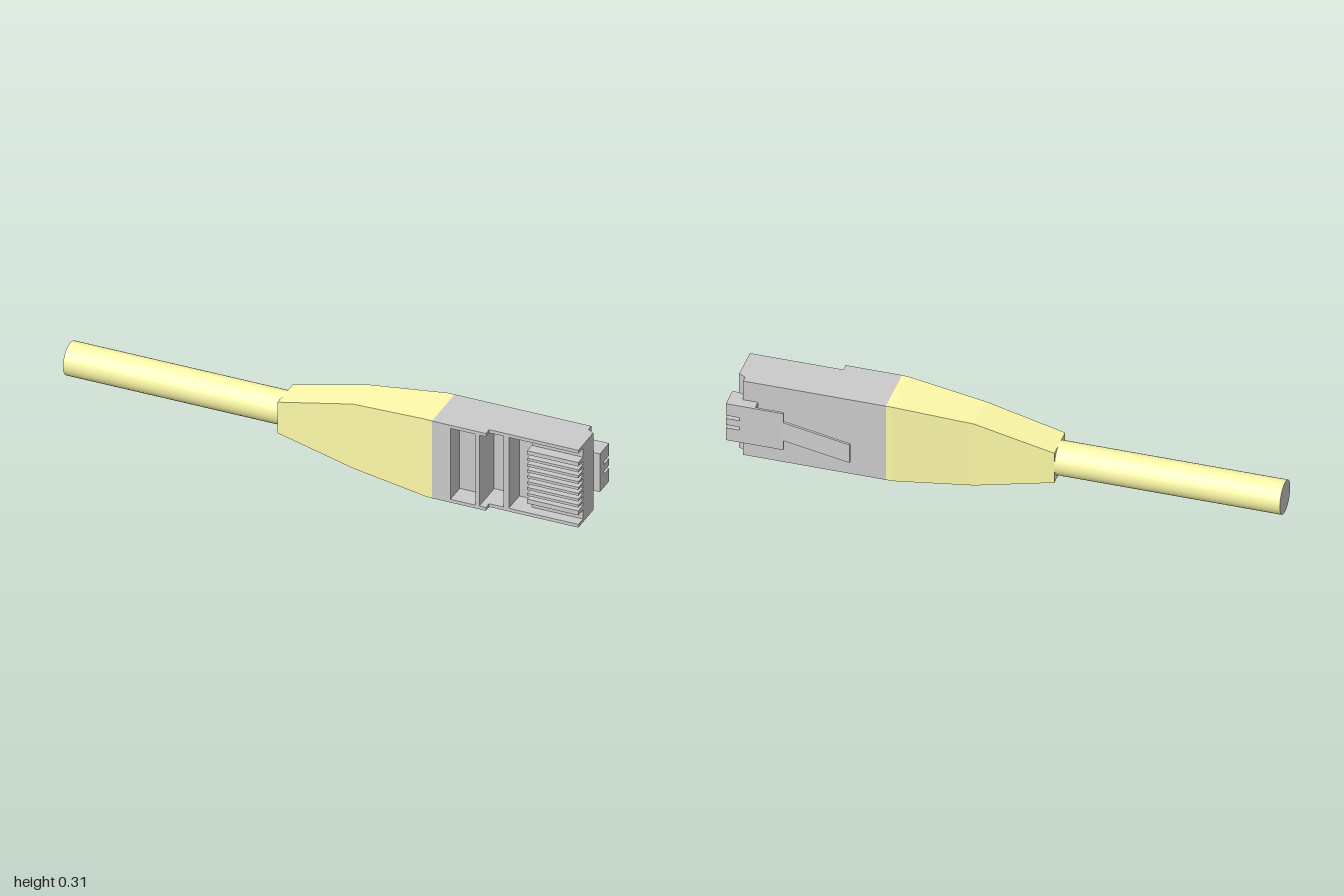
import * as THREE from 'three';

const grey = new THREE.MeshStandardMaterial({ color: 0xcccccc });
const yellow = new THREE.MeshStandardMaterial({ color: 0xfffbaa });

function add(parent, name, geometry, material = grey) {
  const mesh = new THREE.Mesh(geometry, material);
  mesh.name = name;
  parent.add(mesh);
  return mesh;
}

// Box given by its limits on each axis
function box(x0, x1, y0, y1, z0, z1) {
  return new THREE.BoxGeometry(x1 - x0, y1 - y0, z1 - z0)
    .translate((x0 + x1) / 2, (y0 + y1) / 2, (z0 + z1) / 2);
}

// Outline of [x, z] points, extruded upwards from y0 to y1
function slab(points, y0, y1) {
  const shape = new THREE.Shape(points.map(([x, z]) => new THREE.Vector2(x, -z)));
  return new THREE.ExtrudeGeometry(shape, { depth: y1 - y0, bevelEnabled: false })
    .rotateX(-Math.PI / 2).translate(0, y0, 0);
}

// Tapered strain relief: a box whose cross-section changes at each station
function bootGeometry() {
  const stations = [ // x, half height, back z, front z
    [-0.18, 0.063, -0.02, 0.11],
    [0.11, 0.131, -0.025, 0.117],
    [0.4, 0.1575, -0.047, 0.146],
    [0.425, 0.1575, -0.047, 0.148],
  ];
  const geo = new THREE.BoxGeometry(3, 1, 1, 3, 1, 1);
  const p = geo.attributes.position;
  for (let i = 0; i < p.count; i++) {
    const [x, h, back, front] = stations[Math.round(p.getX(i) + 1.5)];
    p.setXYZ(i, x, 0.1575 + Math.sign(p.getY(i)) * h, p.getZ(i) > 0 ? front : back);
  }
  const flat = geo.toNonIndexed();
  flat.computeVertexNormals();
  return flat;
}

export function createModel() {
  const model = new THREE.Group();
  model.name = 'networkCable';

  // Cable and its cut end
  const cableY = 0.16, cableZ = 0.043, radius = 0.0625;
  add(model, 'cable', new THREE.CylinderGeometry(radius, radius, 0.84, 32, 1, true)
    .rotateZ(Math.PI / 2).translate(-0.58, cableY, cableZ), yellow);
  add(model, 'cableEnd', new THREE.CircleGeometry(radius, 32)
    .rotateY(-Math.PI / 2).translate(-1, cableY, cableZ));

  add(model, 'boot', bootGeometry(), yellow);

  // Plug housing: two thin side walls around a core with three pockets
  const plug = new THREE.Group();
  plug.name = 'plug';
  model.add(plug);
  const back = [[0.97, -0.008], [0.945, -0.022], [0.945, -0.047], [0.425, -0.047]];
  const wall = [...back, [0.425, 0.148], [0.63, 0.148], [0.63, 0.12], [0.97, 0.12]];
  const core = [
    ...back, [0.425, 0.148],
    [0.495, 0.148], [0.495, 0.068], [0.59, 0.068], [0.59, 0.148],
    [0.605, 0.148], [0.605, 0.02], [0.685, 0.02], [0.685, 0.12],
    [0.705, 0.12], [0.705, 0.03], [0.775, 0.03], [0.775, 0.08],
    [0.97, 0.08],
  ];
  add(plug, 'lowerWall', slab(wall, 0, 0.013));
  add(plug, 'upperWall', slab(wall, 0.302, 0.315));
  add(plug, 'core', slab(core, 0.013, 0.302));

  // Ridges that separate the eight contact slots
  const pitch = 0.0239, slot = 0.0138, first = 0.068;
  for (let i = 0; i <= 8; i++) {
    const y0 = i === 0 ? 0.05 : first + (i - 1) * pitch + slot;
    const y1 = i === 8 ? 0.265 : first + i * pitch;
    add(plug, 'contactRidge', box(0.775, 0.97, y0, y1, 0.08, 0.12));
  }

  // Latch on the back: hooked block with two notches in its end
  const latch = new THREE.Group();
  latch.name = 'latch';
  model.add(latch);
  add(latch, 'latchBlock', box(0.89, 0.945, 0.08, 0.235, -0.087, -0.04));
  add(latch, 'latchFoot', slab(
    [[0.945, -0.042], [0.945, -0.022], [0.97, -0.008], [0.995, -0.008], [0.995, -0.042]], 0.08, 0.235));
  for (const [y0, y1] of [[0.08, 0.132], [0.145, 0.172], [0.185, 0.235]]) {
    add(latch, 'latchTooth', box(0.945, 0.995, y0, y1, -0.087, -0.042));
  }

  // Wide springy plate and the narrow slanting release lever
  add(latch, 'latchPlate', box(0.785, 0.89, 0.08, 0.235, -0.087, -0.078));
  add(latch, 'latchLever', slab(
    [[0.527, -0.147], [0.525, -0.139], [0.785, -0.078], [0.79, -0.087]], 0.12, 0.197));

  return model;
}
